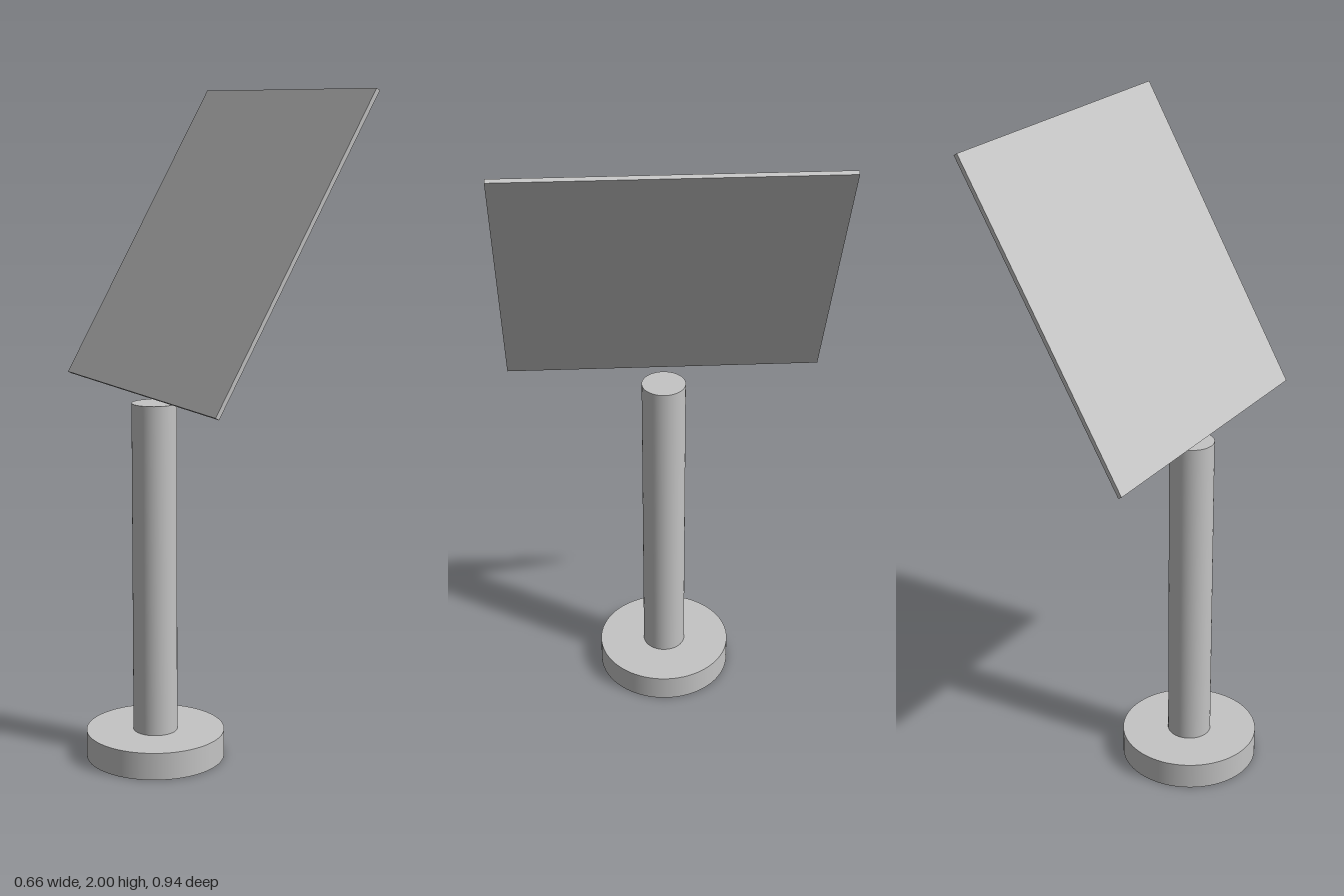
import * as THREE from 'three';

export function createModel() {
  const model = new THREE.Group();
  model.name = 'tiltedPanelStand';

  const grey = new THREE.MeshStandardMaterial({ color: 0xc4c4c4 });
  grey.name = 'light grey';

  const standX = -0.123;
  const baseHeight = 0.083;
  const postTop = 1.092;

  function add(name, geometry, x, y) {
    const mesh = new THREE.Mesh(geometry, grey);
    mesh.name = name;
    mesh.position.set(x, y, 0);
    model.add(mesh);
    return mesh;
  }

  // Round foot
  add('base', new THREE.CylinderGeometry(0.21, 0.21, baseHeight, 96), standX, baseHeight / 2);

  // Upright post standing on the foot
  const postHeight = postTop - baseHeight;
  add('post', new THREE.CylinderGeometry(0.067, 0.067, postHeight, 64), standX, baseHeight + postHeight / 2);

  // Thin flat panel, tilted 60 degrees and floating just above the post
  const panel = add('panel', new THREE.BoxGeometry(1.009, 0.0126, 0.942), 0.074, 1.56);
  panel.rotation.z = Math.PI / 3;

  return model;
}
